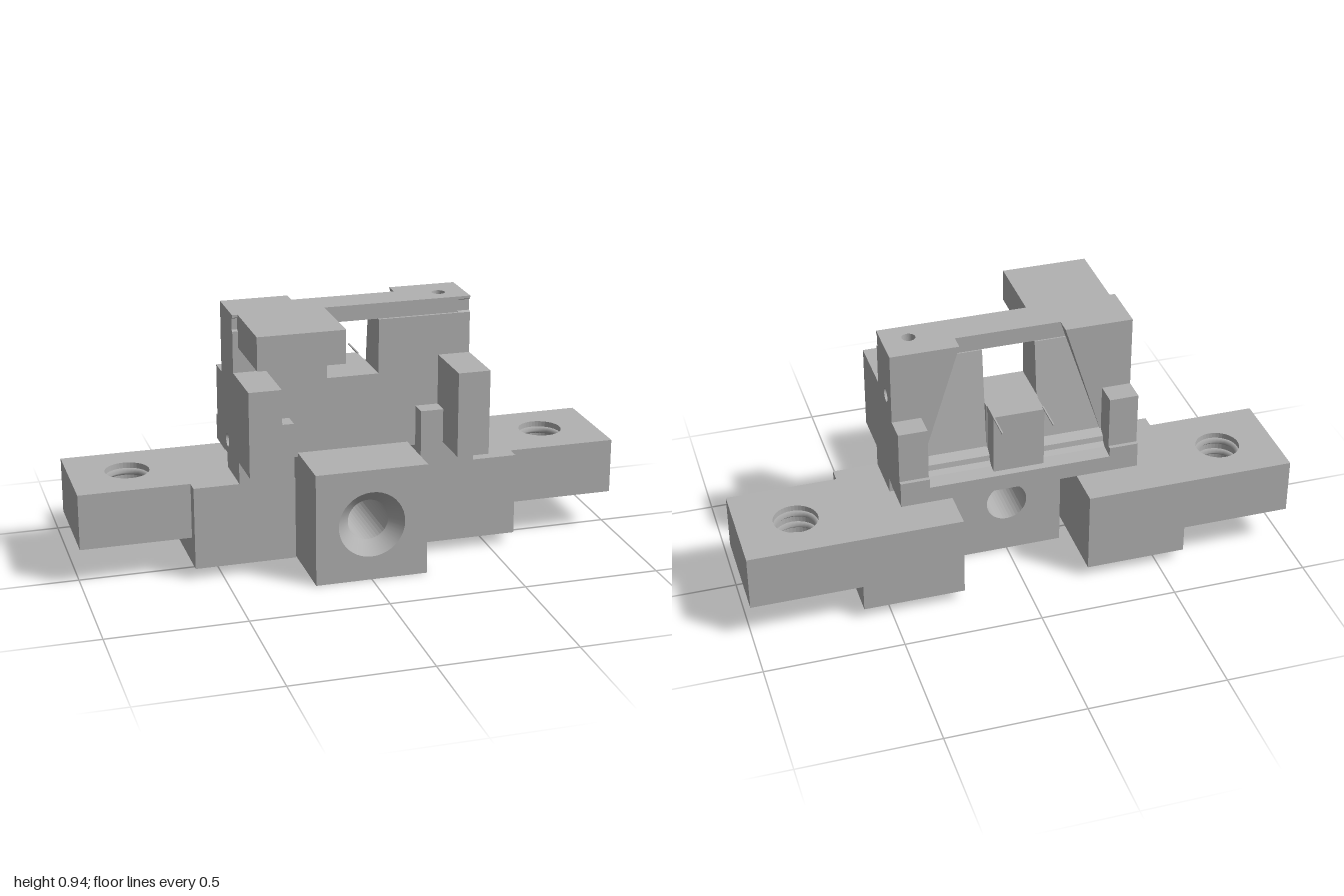
import * as THREE from 'three';

export function createModel() {
  const root = new THREE.Group();
  const grey = new THREE.MeshStandardMaterial({ color: 0xb2b2b2, side: THREE.DoubleSide });
  grey.name = 'plain grey';

  const add = (name, geo) => {
    const m = new THREE.Mesh(geo, grey);
    m.name = name;
    root.add(m);
    return m;
  };
  // box given by its limits
  const box = (name, x0, x1, y0, y1, z0, z1) => add(name,
    new THREE.BoxGeometry(x1 - x0, y1 - y0, z1 - z0).translate((x0 + x1) / 2, (y0 + y1) / 2, (z0 + z1) / 2));
  // extrusion of a polygon with round holes [u, v, radius] along an axis, from a to b
  const prism = (name, axis, pts, a, b, holes = []) => {
    const s = new THREE.Shape(pts.map(p => new THREE.Vector2(...p)));
    for (const [u, v, r] of holes) s.holes.push(new THREE.Path().absarc(u, v, r, 0, Math.PI * 2, true));
    const g = new THREE.ExtrudeGeometry(s, { depth: b - a, bevelEnabled: false, curveSegments: 20 });
    if (axis === 'x') g.rotateY(-Math.PI / 2).translate(b, 0, 0); // (u, v) = (z, y)
    if (axis === 'y') g.rotateX(Math.PI / 2).translate(0, b, 0);  // (u, v) = (x, z)
    if (axis === 'z') g.translate(0, 0, a);                       // (u, v) = (x, y)
    return add(name, g);
  };
  const rect = (u0, u1, v0, v1) => [[u0, v0], [u1, v0], [u1, v1], [u0, v1]];
  // limits of a span mirrored to side s
  const span = (s, a, b) => s > 0 ? [a, b] : [-b, -a];

  // centre block with countersunk bore
  const face = rect(-0.205, 0.205, 0, 0.415);
  prism('centreBlock', 'z', face, -0.07, 0.235, [[0, 0.21, 0.075]]);
  prism('centreBlockFront', 'z', face, 0.235, 0.285, [[0, 0.21, 0.122]]);
  add('countersink', new THREE.CylinderGeometry(0.122, 0.075, 0.05, 40, 1, true)
    .rotateX(Math.PI / 2).translate(0, 0.21, 0.26));

  for (const s of [1, -1]) {
    const side = s > 0 ? 'left' : 'right';
    // mounting wing with threaded hole
    prism(side + 'Wing', 'y', rect(...span(s, 0.6, 1), -0.32, 0.06), 0.14, 0.345, [[s * 0.79, -0.135, 0.08]]);
    for (let i = 0; i < 4; i++) {
      add(side + 'Thread', new THREE.TorusGeometry(0.08, 0.013, 4, 32)
        .rotateX(Math.PI / 2).translate(s * 0.79, 0.17 + i * 0.047, -0.135));
    }
    box(side + 'WingRoot', ...span(s, 0.232, 0.6), 0.04, 0.345, -0.32, 0.11);

    // neck, front step and clamp prong
    box(side + 'Neck', ...span(s, 0.235, 0.39), 0.345, 0.41, -0.07, 0.1);
    box(side + 'FrontStep', ...span(s, 0.235, 0.32), 0.345, 0.55, 0.03, 0.11);
    box(side + 'ProngFoot', ...span(s, 0.32, 0.435), 0.345, 0.425, 0.03, 0.11);
    box(side + 'Prong', ...span(s, 0.318, 0.435), 0.425, 0.735, 0.04, 0.27);

    // side wall with the front groove and a small pin hole
    prism(side + 'Wall', 'x', [[0.045, 0.345], [0.045, 0.885], [0.035, 0.89], [0.035, 0.93], [0.045, 0.935],
      [0.045, 0.945], [-0.14, 0.945], [-0.14, 0.4], [-0.07, 0.4], [-0.07, 0.345]],
      ...span(s, 0.39, 0.435), [[-0.065, s > 0 ? 0.75 : 0.45, 0.024]]);

    // plate beside the window, its rear face leaning back
    prism(side + 'Plate', 'x', [[0.045, 0.4], [0.045, 0.885], [-0.088, 0.885], [-0.138, 0.5], [-0.138, 0.4]],
      ...span(s, 0.095, 0.39));
    // slanted cheek framing the rear recess
    prism(side + 'Cheek', 'z', [[0.39, 0.945], [0.19, 0.945], [0.33, 0.5], [0.39, 0.5]].map(([x, y]) => [s * x, y]),
      -0.14, -0.08);
    // rear ear and thin wire
    box(side + 'Ear', ...span(s, 0.33, 0.435), 0.47, 0.683, -0.225, -0.13);
    box(side + 'Wire', ...span(s, 0.089, 0.094), 0.683, 0.688, -0.32, -0.2);
  }

  // plate below the window and the rear pedestal behind it
  box('lowerPlate', -0.095, 0.095, 0.4, 0.685, -0.138, 0.045);
  box('pedestal', -0.092, 0.092, 0.44, 0.685, -0.215, -0.08);

  // top bar above the window, with groove and pin hole
  const pin = [[0.34, -0.03, 0.024]];
  prism('topBarGroove', 'y', rect(-0.39, 0.39, -0.083, 0.035), 0.885, 0.932, pin);
  prism('topBarCap', 'y', rect(-0.39, 0.39, -0.083, 0.045), 0.932, 0.945, pin);

  // overhanging front tab
  box('frontTab', -0.415, -0.105, 0.825, 0.945, 0.03, 0.32);

  // rear shelf: full-width sill with a stepped ledge between the ears
  box('rearSill', -0.435, 0.435, 0.395, 0.45, -0.24, -0.11);
  prism('rearLedge', 'x', [[-0.13, 0.44], [-0.24, 0.44], [-0.24, 0.455], [-0.185, 0.462], [-0.168, 0.475],
    [-0.165, 0.495], [-0.15, 0.505], [-0.13, 0.52]], -0.33, 0.33);
  for (const s of [1, -1]) box('earFoot', ...span(s, 0.33, 0.435), 0.44, 0.49, -0.24, -0.13);

  return root;
}
